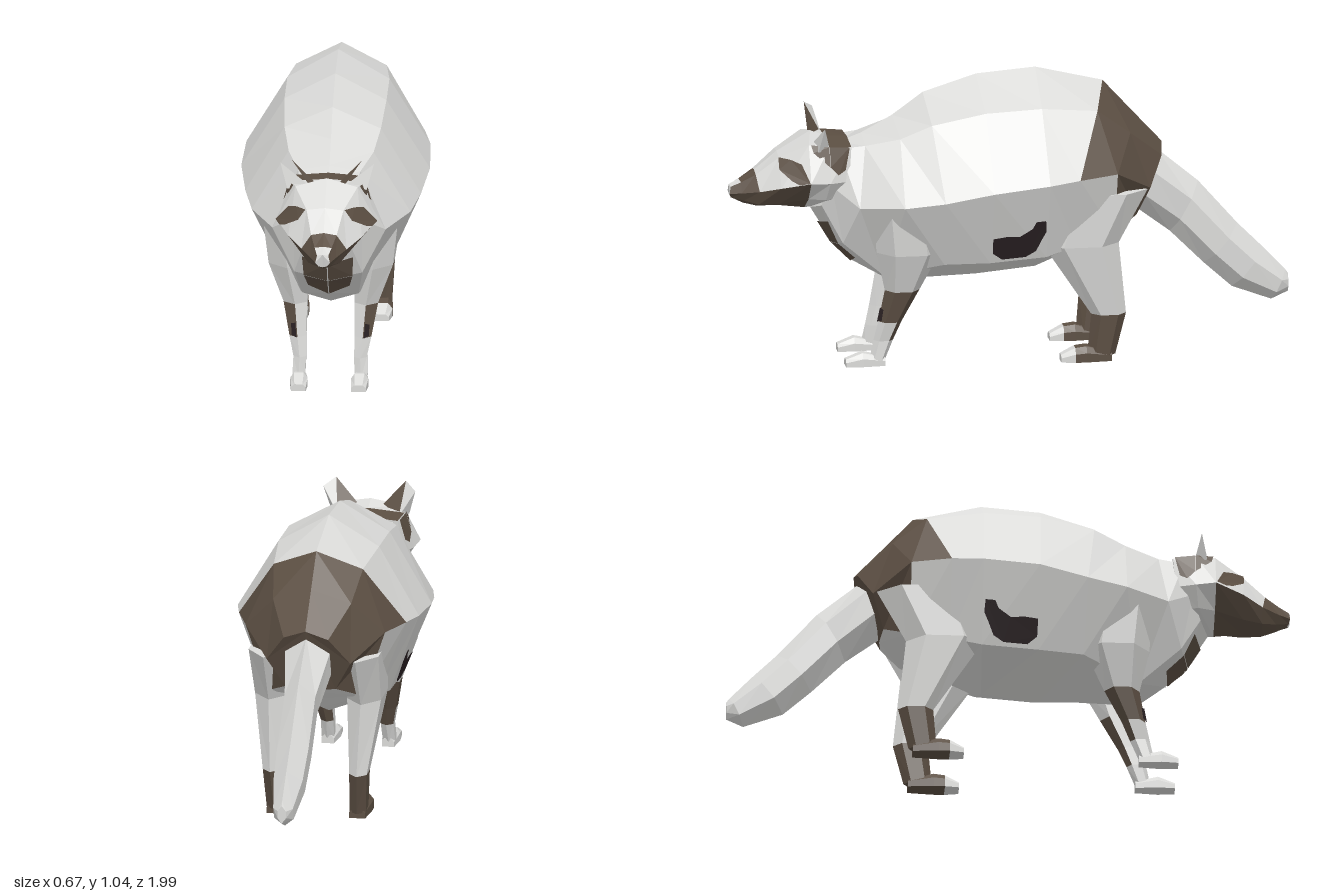
import * as THREE from 'three';

const paint = (name, color) => Object.assign(new THREE.MeshStandardMaterial({ color }), { name });
const grey = paint('light grey fur', 0xdadad8);
const brown = paint('dark brown fur', 0x5c4f43);
const black = paint('black fur', 0x2b2224);
const V = (x, y, z) => new THREE.Vector3(x, y, z);
const flip = (p) => V(-p.x, p.y, p.z);

// Flat-faceted mesh from triangles [material, a, b, c], one group per material
function facets(name, tris) {
  const mats = [...new Set(tris.map((t) => t[0]))];
  const geo = new THREE.BufferGeometry();
  const pts = [];
  mats.forEach((m, i) => {
    const own = tris.filter((t) => t[0] === m);
    geo.addGroup(pts.length, own.length * 3, i);
    own.forEach((t) => pts.push(t[1], t[2], t[3]));
  });
  geo.setFromPoints(pts);
  geo.computeVertexNormals();
  const mesh = new THREE.Mesh(geo, mats);
  mesh.name = name;
  return mesh;
}

// Closed skin through rings; pick(segment, panel) gives the colour, caps are 'start' and 'end'
function loft(name, rings, pick) {
  const tris = [];
  const n = rings[0].length;
  for (let k = 0; k < rings.length - 1; k++) {
    for (let j = 0; j < n; j++) {
      const m = pick(k, j), i = (j + 1) % n;
      const a = rings[k][j], b = rings[k][i], c = rings[k + 1][i], d = rings[k + 1][j];
      if (j < n / 2) tris.push([m, a, b, c], [m, a, c, d]);
      else tris.push([m, a, b, d], [m, b, c, d]);
    }
  }
  const first = rings[0], last = rings[rings.length - 1];
  for (let j = 1; j < n - 1; j++) {
    tris.push([pick('start', j), first[0], first[j + 1], first[j]]);
    tris.push([pick('end', j), last[0], last[j], last[j + 1]]);
  }
  // Turn the skin outward
  const volume = tris.reduce((s, [, a, b, c]) => s + a.dot(b.clone().cross(c)), 0);
  return facets(name, volume > 0 ? tris : tris.map(([m, a, b, c]) => [m, a, c, b]));
}

// Triangles turned away from an inner point
function outward(name, tris, inner) {
  return facets(name, tris.map(([m, a, b, c]) => {
    const nrm = b.clone().sub(a).cross(c.clone().sub(a));
    return nrm.dot(a.clone().sub(inner)) > 0 ? [m, a, b, c] : [m, a, c, b];
  }));
}

// Marking laid just over the panel j..j+1 of two rings; uv = [along, across] pairs
function marking(name, r0, r1, j, uv, mat, inner, mirror) {
  const i = (j + 1) % r0.length;
  const nrm = r1[i].clone().sub(r0[j]).cross(r1[j].clone().sub(r0[i])).normalize();
  if (nrm.dot(r0[j].clone().sub(inner)) < 0) nrm.negate();
  const at = ([t, s]) => r0[j].clone().lerp(r0[i], s).lerp(r1[j].clone().lerp(r1[i], s), t).addScaledVector(nrm, 0.006);
  const pts = uv.map(at).map((p) => (mirror ? flip(p) : p));
  const faces = THREE.ShapeUtils.triangulateShape(uv.map((p) => new THREE.Vector2(...p)), []);
  return outward(name, faces.map((f) => [mat, ...f.map((q) => pts[q])]), mirror ? flip(inner) : inner);
}

// Full ring from its left half, listed from top to bottom
function whole(half) {
  const p = half.map((q) => V(...q));
  return [...p, ...p.slice(1, -1).reverse().map(flip)];
}

// Six-sided level ring for a leg
const level = ([y, cx, cz, rx, rz]) => Array.from({ length: 6 }, (_, j) => {
  const a = Math.PI / 6 + j * Math.PI / 3;
  return V(cx + rx * Math.cos(a), y, cz + rz * Math.sin(a));
});

// Upright ring for a paw
const pawRing = ([z, cx, w, h]) => [V(cx - w, 0, z), V(cx + w, 0, z), V(cx + w, h * 0.6, z),
  V(cx + w * 0.55, h, z), V(cx - w * 0.55, h, z), V(cx - w, h * 0.6, z)];

export function createModel() {
  const model = new THREE.Group();
  const add = (...m) => model.add(...m);

  // Body
  const body = [
    [[0, .79, .60], [.10, .79, .61], [.12, .66, .64], [.08, .58, .67], [0, .555, .70]],
    [[0, .82, .52], [.11, .80, .52], [.20, .595, .55], [.12, .45, .60], [0, .43, .625]],
    [[0, .88, .41], [.15, .83, .40], [.28, .61, .40], [.10, .32, .45], [0, .355, .55]],
    [[0, .96, .30], [.17, .88, .29], [.31, .63, .26], [.20, .38, .25], [0, .28, .42]],
    [[0, 1.02, .11], [.18, .92, .10], [.333, .665, .09], [.22, .385, .09], [0, .29, .11]],
    [[0, 1.037, -.10], [.18, .93, -.10], [.325, .685, -.11], [.22, .40, -.11], [0, .31, -.10]],
    [[0, .98, -.34], [.16, .91, -.30], [.30, .695, -.22], [.20, .43, -.22], [0, .36, -.22]],
    [[0, .87, -.44], [.14, .82, -.42], [.25, .70, -.36], [.17, .46, -.36], [0, .44, -.36]],
    [[0, .75, -.55], [.08, .72, -.54], [.15, .62, -.49], [.09, .51, -.45], [0, .50, -.46]],
  ].map(whole);
  add(loft('body', body, (k, j) => {
    const s = Math.min(j, 7 - j);
    return k === 'end' || (k >= 6 && s < 2) || (k === 7 && s === 2) ? brown : grey;
  }));

  // Tail
  const tail = [[-.53, .725, -.46, .51, .08], [-.68, .60, -.58, .42, .055], [-.82, .44, -.70, .30, .056],
    [-.91, .35, -.80, .21, .052], [-.99, .265, -.94, .158, .035], [-1, .25, -1, .185, .015]]
    .map(([zt, yt, zb, yb, w]) => whole([0, .3, .7, 1].map((t, i) =>
      [i % 3 ? w : 0, yt + (yb - yt) * t, zt + (zb - zt) * t])));
  add(loft('tail', tail, () => grey));

  // Head with brown crown, jaw and muzzle band
  const head = [
    [[0, .81, .57], [.12, .80, .57], [.14, .68, .58], [.10, .61, .60], [0, .56, .62]],
    [[0, .815, .65], [.13, .805, .65], [.165, .68, .65], [.12, .61, .66], [0, .56, .67]],
    [[0, .835, .70], [.11, .81, .72], [.175, .685, .72], [.10, .61, .72], [0, .555, .72]],
    [[0, .765, .82], [.065, .757, .82], [.13, .66, .82], [.075, .59, .82], [0, .567, .82]],
    [[0, .70, .90], [.045, .692, .90], [.08, .637, .89], [.055, .585, .89], [0, .567, .89]],
    [[0, .668, .955], [.03, .662, .95], [.045, .625, .95], [.03, .595, .94], [0, .58, .94]],
    [[0, .65, .99], [.02, .645, .985], [.026, .62, .99], [.015, .605, .985], [0, .60, .98]],
  ].map(whole);
  add(loft('head', head, (k, j) => {
    const s = Math.min(j, 7 - j);
    if (k === 'end') return grey;
    if (k === 0) return s === 0 ? brown : grey;
    if (k === 5) return s === 0 ? grey : brown;
    return k === 4 || (k >= 2 && s >= 2) ? brown : grey;
  }));

  const foreLeg = [[.60, .17, .39, .08, .11], [.42, .150, .37, .08, .115], [.275, .125, .39, .048, .062],
    [.16, .115, .432, .034, .042], [.09, .107, .455, .026, .035], [.02, .110, .477, .026, .028]].map(level);
  const hindLeg = [[.62, .165, -.31, .078, .168], [.43, .165, -.24, .07, .135],
    [.17, .155, -.34, .036, .062], [.02, .148, -.315, .034, .05]].map(level);
  const forePaw = [[.45, .108, .022, .03], [.53, .107, .031, .048], [.59, .106, .026, .025]].map(pawRing);
  const hindPaw = [[-.35, .148, .028, .035], [-.26, .148, .037, .055], [-.22, .148, .037, .05],
    [-.17, .146, .028, .025]].map(pawRing);

  const skull = V(0, .67, .7), core = V(0, .6, 0), chest = V(0, .55, .4);
  for (const mirror of [false, true]) {
    const side = mirror ? 'right ' : 'left ';
    const m = (p) => (mirror ? flip(p) : p);
    const put = (rings) => rings.map((r) => r.map(m));

    // Legs and paws
    add(loft(side + 'front leg', put(foreLeg), (k, j) =>
      (k === 2 && j !== 1 && j !== 2) || (k === 3 && (j === 3 || j === 4)) ? brown : grey));
    add(loft(side + 'front paw', put(forePaw), () => grey));
    add(loft(side + 'hind leg', put(hindLeg), (k) => (k === 2 || k === 'end' ? brown : grey)));
    add(loft(side + 'hind paw', put(hindPaw), (k) => (k === 2 || k === 'end' ? grey : brown)));

    // Ear: pale front and outside, dark inner side
    const [a, a2, b, sh, tip, back] = [[.047, .82, .69], [.06, .805, .70], [.14, .79, .69], [.165, .88, .67],
      [.125, .906, .705], [.11, .79, .645]].map((p) => m(V(...p)));
    add(outward(side + 'ear', [[brown, a, a2, tip], [grey, a2, b, sh], [grey, a2, sh, tip],
      [brown, a, tip, back], [grey, tip, sh, back], [grey, sh, b, back]], m(V(.112, .83, .682))));

    // Fur markings
    const mark = (name, rings, k, j, uv, mat, inner) =>
      add(marking(side + name, rings[k], rings[k + 1], j, uv, mat, inner, mirror));
    mark('eye patch', head, 2, 1, [[0, 1], [.25, .45], [.6, .22], [1, 0], [1, .4], [.6, .85], [.35, 1]], brown, skull);
    mark('temple patch', head, 0, 1, [[.1, 0], [1, 0], [1, .55], [.6, .78], [.25, .65]], brown, skull);
    mark('ear base patch', head, 1, 1, [[0, 0], [.9, 0], [.8, .2], [0, .55]], brown, skull);
    mark('upper chest patch', body, 0, 3, [[.4, .08], [.4, 1], [1, 1], [1, .3]], brown, chest);
    mark('lower chest patch', body, 1, 3, [[0, .3], [0, 1], [.95, 1], [.5, .35]], brown, chest);
    mark('flank patch', body, 4, 2, [[.02, .64], [.03, .85], [.2, .95], [.62, .95], [.8, .88], [.9, .72], [.97, .62],
      [.95, .47], [.78, .47], [.72, .56], [.5, .65], [.25, .63]], black, core);
    mark('front leg spot', foreLeg, 2, 0, [[.6, .55], [.55, 1], [1, 1], [.95, .4]], black, V(.115, .2, .41));
  }
  return model;
}
